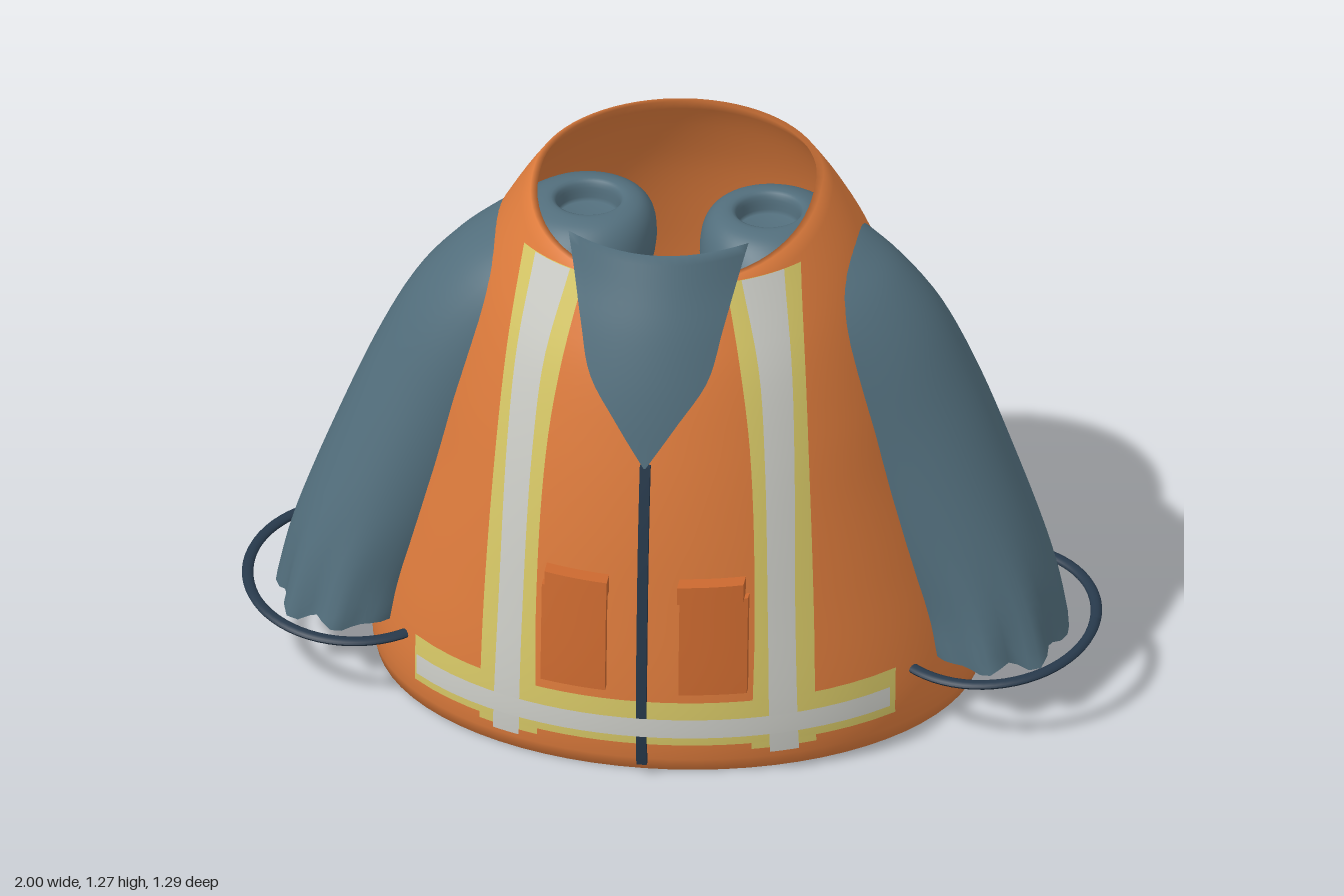
import * as THREE from 'three';

const mat = (name, color) => {
  const m = new THREE.MeshStandardMaterial({ color, side: THREE.DoubleSide });
  m.name = name;
  return m;
};

// Smooth lookup through rows of [key, ...values]
function track(rows) {
  const n = rows[0].length - 1;
  const curve = new THREE.CubicInterpolant(rows.map(r => r[0]), rows.flatMap(r => r.slice(1)), n, new Float32Array(n));
  const last = rows[rows.length - 1][0];
  return t => Array.from(curve.evaluate(Math.min(Math.max(t, rows[0][0]), last)));
}

// Vest profile: height, half width, front depth, back depth
const vestAt = track([
  [0, 0.7, 0.585, 0.63], [0.03, 0.708, 0.592, 0.635], [0.1, 0.71, 0.6, 0.642], [0.2, 0.695, 0.6, 0.645],
  [0.4, 0.645, 0.587, 0.615], [0.6, 0.59, 0.567, 0.572], [0.8, 0.54, 0.533, 0.535],
  [1.0, 0.475, 0.483, 0.482], [1.1, 0.43, 0.443, 0.44], [1.2, 0.37, 0.403, 0.386], [1.25, 0.335, 0.385, 0.35],
]);

// Depth of the chest at a given x and height
function chestZ(x, y) {
  const [w, f] = vestAt(y);
  return f * Math.sqrt(Math.max(0, 1 - (x / (w + 0.033 * y)) ** 2));
}

// Surface from a grid of points; wraps close the grid in u or v
function surface(nu, nv, point, wrapU = false, wrapV = false) {
  const cu = wrapU ? nu : nu + 1, cv = wrapV ? nv : nv + 1;
  const pos = [], idx = [];
  for (let j = 0; j < cv; j++) for (let i = 0; i < cu; i++) pos.push(...point(i / nu, j / nv, j));
  for (let j = 0; j < nv; j++) for (let i = 0; i < nu; i++) {
    const a = j * cu + i, b = j * cu + (i + 1) % cu;
    const c = ((j + 1) % cv) * cu + i, d = ((j + 1) % cv) * cu + (i + 1) % cu;
    idx.push(a, c, b, b, c, d);
  }
  const g = new THREE.BufferGeometry();
  g.setAttribute('position', new THREE.Float32BufferAttribute(pos, 3));
  g.setIndex(idx);
  g.computeVertexNormals();
  return g;
}

// Vest shell: outside upward, inside back down
function vestGeometry() {
  const n = 40;
  return surface(72, 2 * n, (u, v, j) => {
    const inner = j >= n;
    const h = inner ? (2 * n - 1 - j) / (n - 1) : j / (n - 1);
    const a = u * Math.PI * 2, s = Math.sin(a);
    const y = h * (1.25 - 0.065 * Math.max(0, s) ** 1.3);
    const [w, f, b] = vestAt(y), t = inner ? 0.016 : 0;
    return [Math.cos(a) * (w - t), y, s * ((s > 0 ? f : b) - t)];
  }, true, true);
}

// Cloth strip lying on the chest between two x edges
const strip = (edges, y0, y1, off) => surface(24, 24, (u, v) => {
  const y = y0 + (y1 - y0) * v, [a, b] = edges(y), x = a + (b - a) * u;
  return [x, y, chestZ(x, y) + off];
});

// Box bent to follow the chest
function chestBox(x, y, w, h, off, thick) {
  const g = new THREE.BoxGeometry(w, h, thick, 6, 16, 1).translate(x, y, off + thick / 2);
  const p = g.attributes.position;
  for (let i = 0; i < p.count; i++) p.setZ(i, p.getZ(i) + chestZ(p.getX(i), p.getY(i)));
  g.computeVertexNormals();
  return g;
}

// Sleeve rings: index, centre x, y, z, radius across, radius along z, tilt
const sleeveAt = track([
  [0, 0.21, 1.12, 0, 0.07, 0.07, 0], [1, 0.21, 1.17, 0, 0.08, 0.08, 0], [2, 0.21, 1.165, 0, 0.125, 0.13, 0],
  [3, 0.215, 1.13, 0, 0.16, 0.175, 0.08], [4, 0.25, 1.065, 0.01, 0.195, 0.212, 0.22],
  [5, 0.325, 0.96, 0.02, 0.22, 0.226, 0.39], [6, 0.42, 0.835, 0.022, 0.224, 0.228, 0.46],
  [7, 0.52, 0.66, 0.03, 0.217, 0.222, 0.5], [8, 0.62, 0.465, 0.05, 0.2, 0.213, 0.44],
  [9, 0.705, 0.295, 0.072, 0.18, 0.205, 0.25], [10, 0.745, 0.175, 0.088, 0.174, 0.205, -0.03],
]);

function sleeveGeometry(side) {
  return surface(48, 51, (u, v, j) => {
    const k = Math.max(0, (j - 1) / 5), a = u * Math.PI * 2;
    const [x, y, z, rx, rz, tilt] = sleeveAt(k);
    // Creases gather at the front outer hem
    const hem = Math.max(0, (k - 8) / 2), front = Math.exp(-(((a - 0.9) / 0.8) ** 2));
    const r = (j === 0 ? 0 : 1) * (1 + hem * hem * front * 0.1 * Math.sin(9 * a + 1));
    const c = Math.cos(a) * rx * r, s = Math.sin(a) * rz * r;
    const drop = hem * hem * (0.025 * Math.sin(a) + 0.014 * front * Math.sin(9 * a));
    return [side * (x + c * Math.cos(tilt)), y + c * Math.sin(tilt) - drop, z + s];
  }, true);
}

// Flattened hoop, tilted down toward the front
function hoopGeometry(side) {
  const g = new THREE.TorusGeometry(0.26, 0.014, 10, 64).rotateX(Math.PI / 2).scale(0.95, 0.6, 1.02);
  const p = g.attributes.position;
  for (let i = 0; i < p.count; i++) {
    const x = p.getX(i), z = p.getZ(i);
    p.setXYZ(i, side * (0.74 + x), 0.194 + p.getY(i) - 0.125 * z + 0.03 * x, 0.11 + z);
  }
  g.computeVertexNormals();
  return g;
}

// Collar insert: height, half width, centre z, curvature
const collarAt = track([
  [0.79, 0.002, 0.572, 1.2], [0.9, 0.075, 0.553, 1.3], [0.99, 0.136, 0.532, 1.5],
  [1.1, 0.165, 0.497, 1.7], [1.2, 0.19, 0.456, 2.0], [1.275, 0.21, 0.425, 2.0],
]);
const collarGeometry = () => surface(16, 44, (u, v, j) => {
  // Front face up, back face down
  const back = j > 22, t = back ? (44 - j) / 22 : j / 22, y = 0.79 + t * 0.485;
  const [w, z, k] = collarAt(y), x = (u * 2 - 1) * w;
  return [x, y, z - k * x * x - (back ? 0.012 : 0)];
});

// Vertical tape edges: height, yellow in, silver in, silver out, yellow out
const tapeAt = track([
  [0.06, 0.25, 0.293, 0.357, 0.393], [0.4, 0.255, 0.286, 0.346, 0.384],
  [0.8, 0.237, 0.27, 0.334, 0.362], [1.0, 0.208, 0.25, 0.32, 0.346], [1.2, 0.163, 0.2, 0.29, 0.322],
]);

export function createModel() {
  const group = new THREE.Group();
  const orange = mat('vest orange', 0xdd7b3c), pocketOrange = mat('pocket orange', 0xcb692f);
  const slate = mat('shirt slate', 0x526e7c), navy = mat('dark navy', 0x26384a);
  const yellow = mat('tape yellow', 0xd6c766), silver = mat('tape silver', 0xcbccc6);
  const add = (name, geometry, material) => {
    const m = new THREE.Mesh(geometry, material);
    m.name = name;
    group.add(m);
  };

  add('vestBody', vestGeometry(), orange);
  add('collar', collarGeometry(), slate);
  add('zip', chestBox(0, 0.41, 0.024, 0.76, 0.016, 0.014), navy);

  // Waist tape
  add('waistTape', strip(() => [-0.56, 0.56], 0.085, 0.198, 0.022), yellow);
  add('waistReflector', strip(() => [-0.552, 0.552], 0.118, 0.166, 0.045), silver);

  for (const side of [1, -1]) {
    const tag = side > 0 ? 'left' : 'right';
    add(tag + 'Sleeve', sleeveGeometry(side), slate);
    add(tag + 'CuffHoop', hoopGeometry(side), navy);
    add(tag + 'ChestTape', strip(y => [side * tapeAt(y)[0], side * tapeAt(y)[3]], 0.065, 1.195, 0.016), yellow);
    add(tag + 'ChestReflector', strip(y => [side * tapeAt(y)[1], side * tapeAt(y)[2]], 0.06, 1.2, 0.03), silver);
    add(tag + 'Pocket', chestBox(side * 0.163, 0.34, 0.155, 0.24, 0, 0.024), pocketOrange);
    add(tag + 'PocketFlap', chestBox(side * 0.157, 0.482, 0.15, 0.042, 0, 0.042), pocketOrange);
  }
  return group;
}
